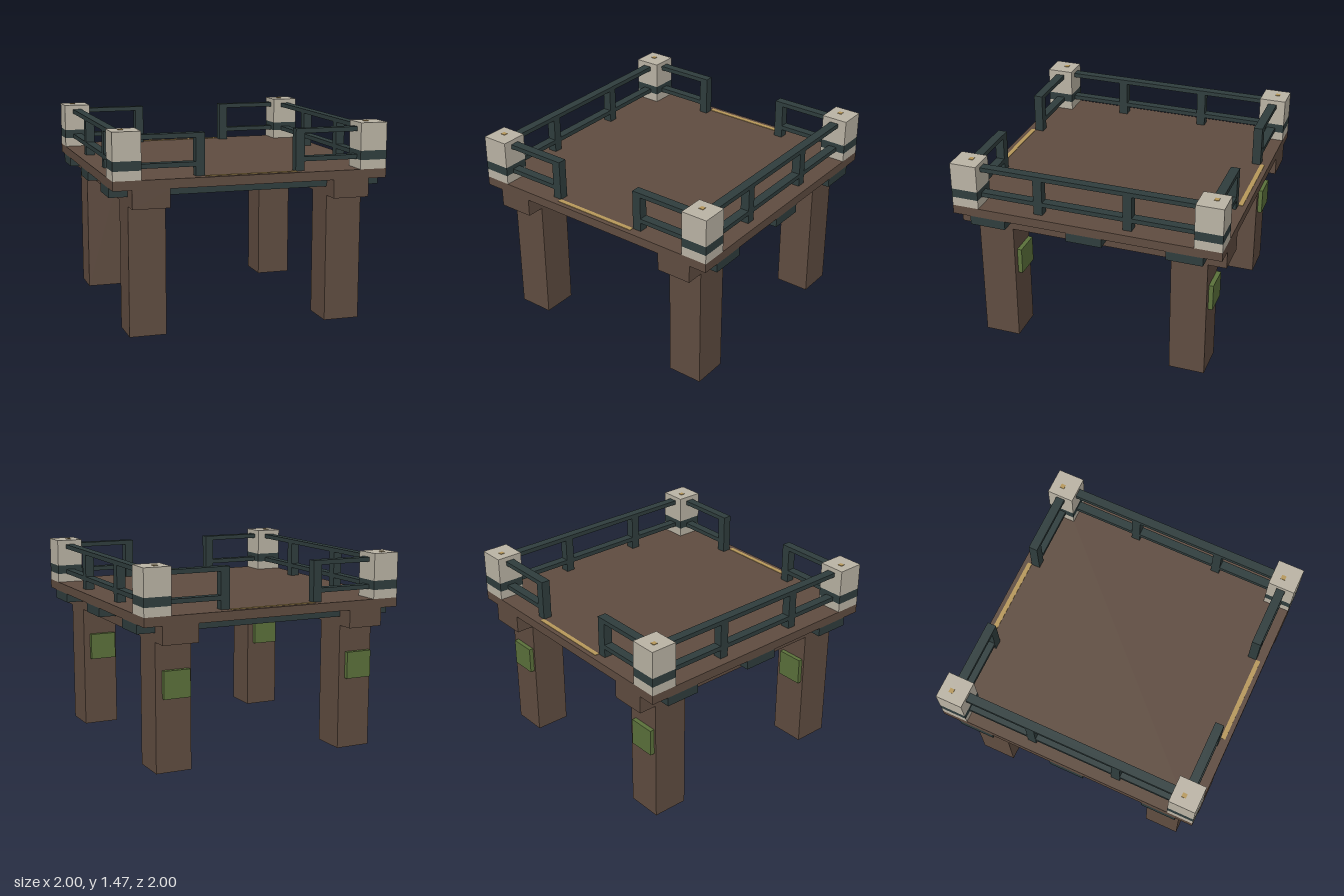
import * as THREE from 'three';

const mat = (name, color) => {
  const m = new THREE.MeshStandardMaterial({ color });
  m.name = name;
  return m;
};

export function createModel() {
  const wood = mat('brown wood', 0x5f4c40);
  const iron = mat('dark teal iron', 0x2f3d3d);
  const stone = mat('pale stone', 0xbab3a4);
  const brass = mat('brass', 0xb6975a);
  const moss = mat('moss green', 0x5b713b);

  const model = new THREE.Group();
  model.name = 'raisedPlatform';

  // Box given by its extents along each axis
  const U = 1 / 15; // building module
  const box = (name, material, [x0, x1], [y0, y1], [z0, z1]) => {
    const mesh = new THREE.Mesh(new THREE.BoxGeometry(x1 - x0, y1 - y0, z1 - z0), material);
    mesh.position.set((x0 + x1) / 2, (y0 + y1) / 2, (z0 + z1) / 2);
    mesh.name = name;
    model.add(mesh);
  };
  // Mirrors an extent to the chosen side
  const side = (s, a, b) => (s > 0 ? [a, b] : [-b, -a]);

  const deckTop = 17 * U;
  const railHeights = [[18 * U, 18.5 * U], [21 * U, 21.5 * U]];

  // Deck and the cross joists beneath it
  box('deck', wood, [-1, 1], [16 * U, deckTop], [-1, 1]);
  for (const z of [-11, 0, 11]) {
    box('joist', iron, [-1, 1], [15 * U, 16 * U], [(z - 2) * U, (z + 2) * U]);
  }

  for (const sx of [-1, 1]) {
    // Long beams carried by the legs
    box('beam', wood, side(sx, 9 * U, 13 * U), [14 * U, 16 * U], [-1, 1]);

    // Side railing with two stanchions
    for (const y of railHeights) {
      box('sideRail', iron, side(sx, 13 * U, 14 * U), y, [-0.8, 0.8]);
    }
    for (const z of [-5, 5]) {
      const z0 = z > 0 ? 5 * U : -5 * U;
      box('sideStanchion', iron, side(sx, 13 * U, 14 * U), [deckTop, 21.5 * U], [z0, z0 + U]);
    }

    for (const sz of [-1, 1]) {
      // Leg with a moss patch on its back face
      box('leg', wood, side(sx, 9 * U, 13 * U), [0, 14 * U], side(sz, 9 * U, 13 * U));
      const legBack = sz > 0 ? 9 * U : -13 * U;
      const mx = sx * 11 * U - 0.25 * U;
      box('mossPatch', moss, [mx - 0.1, mx + 0.1], [8 * U, 11 * U], [legBack - U / 2, legBack]);

      // Corner post: stone, iron band, stone, brass stud
      const px = side(sx, 0.8, 1), pz = side(sz, 0.8, 1);
      box('postBase', stone, px, [deckTop, 18 * U], pz);
      box('postBand', iron, px, [18 * U, 19 * U], pz);
      box('postCap', stone, px, [19 * U, 22 * U], pz);
      const dx = sx * 0.9 - U / 4, dz = sz * 0.9 - U / 4, r = U / 4;
      box('postStud', brass, [dx - r, dx + r], [22 * U, 22 * U + 0.004], [dz - r, dz + r]);

      // Short end railing beside the opening
      for (const y of railHeights) {
        box('endRail', iron, side(sx, 6 * U, 0.8), y, side(sz, 13 * U, 14 * U));
      }
      box('endStanchion', iron, side(sx, 5 * U, 6 * U), [deckTop, 21.5 * U], side(sz, 13 * U, 14 * U));
    }
  }

  // Brass threshold strips at both openings
  for (const sz of [-1, 1]) {
    box('threshold', brass, [-5 * U, 5 * U], [deckTop, deckTop + 0.004], side(sz, 14 * U, 14.5 * U));
  }
  return model;
}
